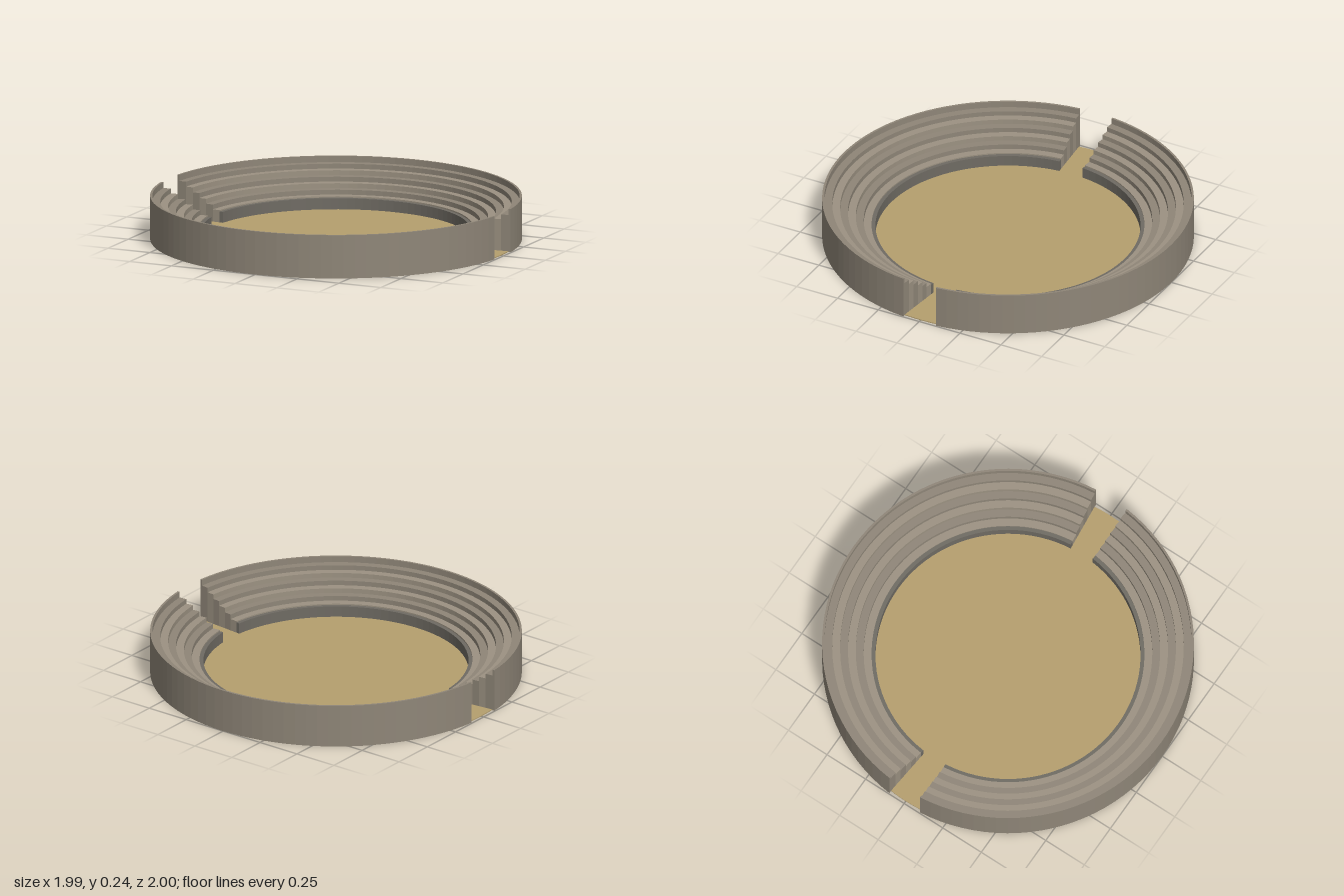
import * as THREE from 'three';

const GAP = 0.1;      // half angle of each entrance
const FLOOR = 0.005;  // floor thickness

const material = (color) => new THREE.MeshStandardMaterial({ color, flatShading: true });

// Half ring with radial ends, standing upright from y0 to y1
function halfRing(inner, outer, y0, y1) {
  const shape = new THREE.Shape();
  shape.absarc(0, 0, outer, GAP, Math.PI - GAP, false);
  shape.absarc(0, 0, inner, Math.PI - GAP, GAP, true);
  const geometry = new THREE.ExtrudeGeometry(shape, {
    depth: y1 - y0, bevelEnabled: false, curveSegments: 24,
  });
  geometry.rotateX(-Math.PI / 2);
  geometry.translate(0, y0, 0);
  return geometry;
}

export function createModel() {
  const model = new THREE.Group();
  model.name = 'arena';

  const sand = material(0xb59f6e);
  const podium = material(0x6f6b63);
  const stone = material(0x8f8678);
  const seats = [material(0x9c9282), material(0x8f8678)];

  // Sand floor, running out through both entrances
  const floor = new THREE.Mesh(new THREE.CylinderGeometry(0.985, 0.985, FLOOR, 96), sand);
  floor.position.y = FLOOR / 2;
  floor.name = 'arenaFloor';
  model.add(floor);

  // Two mirrored halves of the stands
  for (const side of ['back', 'front']) {
    const stand = new THREE.Group();
    stand.name = side + 'Stand';
    stand.rotation.y = side === 'back' ? 0 : Math.PI;
    const add = (name, geometry, mat) => {
      const mesh = new THREE.Mesh(geometry, mat);
      mesh.name = name;
      stand.add(mesh);
    };

    // Low wall around the floor
    add('podiumWall', halfRing(0.713, 0.734, 0, 0.065), podium);

    // Six rising rows of seating
    const rows = 6, start = 0.734, end = 0.988;
    const width = (end - start) / rows;
    for (let i = 0; i < rows; i++) {
      const r = start + i * width;
      add('seatRow' + (i + 1), halfRing(r, r + width, FLOOR, 0.072 + i * 0.0265), seats[i % 2]);
    }

    // Thin outer wall, higher than the last row
    add('outerWall', halfRing(end, 1, 0, 0.238), stone);
    model.add(stand);
  }
  return model;
}
